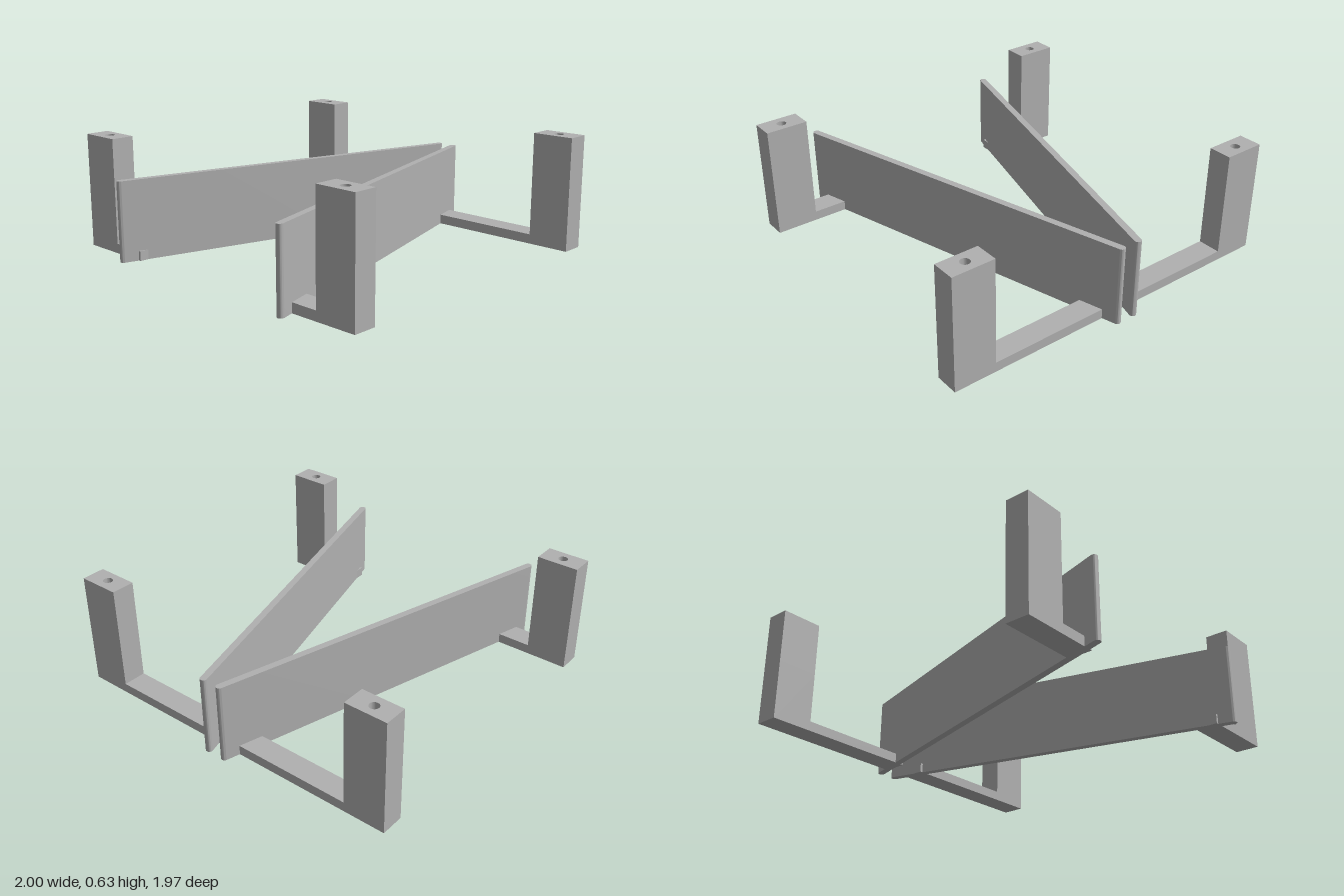
import * as THREE from 'three';
import { toCreasedNormals } from 'three/addons/utils/BufferGeometryUtils.js';

const grey = new THREE.MeshStandardMaterial({ color: 0xb0b0b0 });
grey.name = 'plain grey';

const POST = { x: 0.848, width: 0.129, near: 0.753, far: 0.987, height: 0.627 };
const HOLE = { radius: 0.026, depth: 0.3 };
const ARM_HEIGHT = 0.053;
const WALL = { height: 0.438, radius: 0.019, endX: 0.981, wideZ: 0.6, narrowZ: 0.053 };

function mesh(name, geometry, x, y, z) {
  const m = new THREE.Mesh(geometry, grey);
  m.name = name;
  m.position.set(x, y, z);
  return m;
}

// Extrudes a plan shape upwards, keeping round parts smooth
function extrudeUp(shape, height) {
  const g = new THREE.ExtrudeGeometry(shape, { depth: height, bevelEnabled: false, curveSegments: 16 });
  g.rotateX(-Math.PI / 2);
  return toCreasedNormals(g, Math.PI / 6);
}

// Slanted guide wall with rounded ends
function createWall(side) {
  const { endX, wideZ, narrowZ, radius: r, height } = WALL;
  const half = Math.hypot(2 * endX, wideZ - narrowZ) / 2;
  const plan = new THREE.Shape();
  plan.moveTo(-half, -r);
  plan.lineTo(half, -r);
  plan.absarc(half, 0, r, -Math.PI / 2, Math.PI / 2, false);
  plan.lineTo(-half, r);
  plan.absarc(-half, 0, r, Math.PI / 2, Math.PI * 1.5, false);
  const wall = mesh('guideWall', extrudeUp(plan, height), 0, 0, side * (wideZ + narrowZ) / 2);
  wall.rotation.y = side * Math.atan2(wideZ - narrowZ, 2 * endX);
  return wall;
}

// L-shaped support: a foot arm under the wall and a post with a blind screw hole
function createBracket(x, side, armEnd) {
  const group = new THREE.Group();
  group.name = 'bracket';
  const { width: w, near, far, height } = POST;
  const d = far - near;
  const z = side * (near + far) / 2;
  const solid = height - HOLE.depth;

  const armLength = near - armEnd;
  group.add(mesh('footArm', new THREE.BoxGeometry(w, ARM_HEIGHT, armLength),
    x, ARM_HEIGHT / 2, side * (near + armEnd) / 2));
  group.add(mesh('postBase', new THREE.BoxGeometry(w, solid, d), x, solid / 2, z));

  const plan = new THREE.Shape();
  plan.moveTo(-w / 2, -d / 2);
  plan.lineTo(w / 2, -d / 2);
  plan.lineTo(w / 2, d / 2);
  plan.lineTo(-w / 2, d / 2);
  plan.closePath();
  const hole = new THREE.Path();
  hole.absarc(0, 0, HOLE.radius, 0, Math.PI * 2, true);
  plan.holes.push(hole);
  group.add(mesh('postTop', extrudeUp(plan, HOLE.depth), x, solid, z));
  return group;
}

export function createModel() {
  const model = new THREE.Group();
  model.name = 'funnelGuide';
  for (const side of [1, -1]) {
    model.add(createWall(side));
    // Short arm at the wide end, long arm at the narrow end
    model.add(createBracket(-POST.x, side, 0.547));
    model.add(createBracket(POST.x, side, 0.072));
  }
  return model;
}
